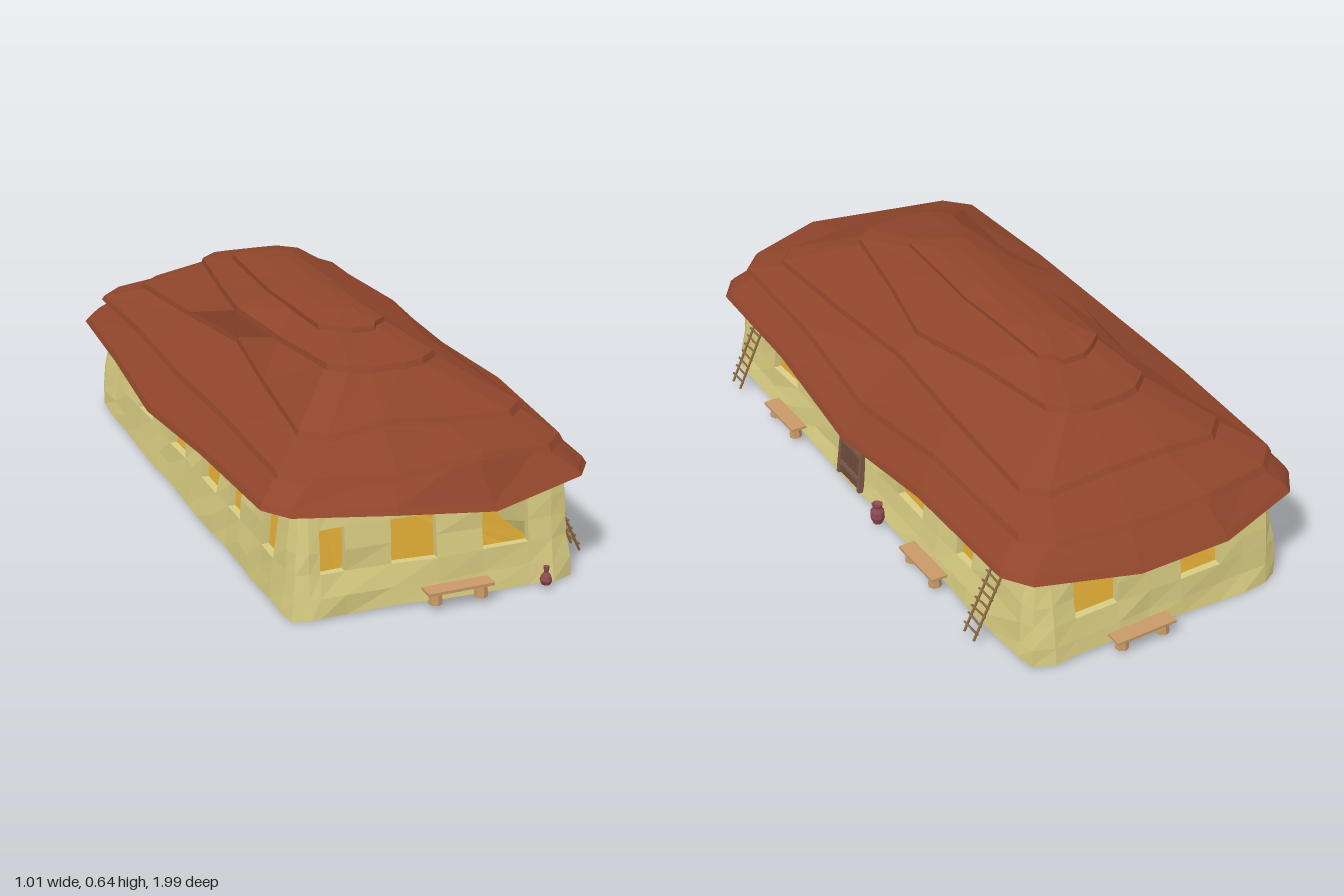
import * as THREE from 'three';

const mat = (color, side = THREE.FrontSide) =>
  new THREE.MeshStandardMaterial({ color, flatShading: true, side });
const M = {
  wall: mat(0xd9cd82, THREE.DoubleSide),
  floor: mat(0xc8992f, THREE.DoubleSide),
  roof: mat(0x8f452b, THREE.DoubleSide),
  bench: mat(0xc99a68),
  door: mat(0x6b4a3c),
  frame: mat(0x7d5a48),
  ladder: mat(0x8a6840),
  jar: mat(0x8c4a52),
};

let seed = 7;
const rand = () => (seed = (seed * 16807) % 2147483647) / 2147483647;

function add(parent, name, geo, material, x = 0, y = 0, z = 0) {
  const mesh = new THREE.Mesh(geo, material);
  mesh.name = name;
  mesh.position.set(x, y, z);
  parent.add(mesh);
  return mesh;
}

function toGeometry(pos) {
  const geo = new THREE.BufferGeometry();
  geo.setAttribute('position', new THREE.Float32BufferAttribute(pos, 3));
  geo.computeVertexNormals();
  return geo;
}

// Flat-shaded skin between rings of points of equal length
function loft(rings) {
  const n = rings[0].length, pos = [];
  for (let r = 0; r < rings.length - 1; r++)
    for (let i = 0; i < n; i++) {
      const k = (i + 1) % n;
      const [a, b, c, d] = [rings[r][i], rings[r][k], rings[r + 1][i], rings[r + 1][k]];
      for (const p of [a, c, b, b, c, d]) pos.push(p.x, p.y, p.z);
    }
  return toGeometry(pos);
}

// Wall stations along one side: ends, window edges and evenly filled gaps
function stations(from, to, holes) {
  const marks = [from, ...holes.flat(), to].sort((a, b) => a - b);
  const out = [from];
  for (let i = 1; i < marks.length; i++) {
    const gap = marks[i] - marks[i - 1], steps = Math.ceil(gap / 0.14);
    for (let s = 1; s <= steps; s++) out.push(marks[i - 1] + (gap * s) / steps);
  }
  return out;
}

function buildWalls(group) {
  const base = []; // x, z, outward normal, and whether a window starts here
  const side = (half, holes, reverse, place) => {
    const list = stations(-half, half, holes);
    if (reverse) list.reverse();
    list.forEach((t, i) => {
      const mid = i < list.length - 1 ? (t + list[i + 1]) / 2 : 99;
      base.push({ ...place(t), hole: holes.some(([a, b]) => mid > a && mid < b) });
    });
  };
  const corner = (x, z) => base.push({ x, z, nx: Math.sign(x) * 0.8, nz: Math.sign(z) * 0.8, hole: false });

  side(0.84, [[-0.57, -0.49], [-0.3, -0.16], [0.49, 0.63]], false, (t) => ({ x: 0.43, z: t, nx: 1, nz: 0 }));
  corner(0.415, 0.895);
  side(0.35, [[-0.32, -0.25], [-0.12, 0.01], [0.145, 0.28]], true, (t) => ({ x: t, z: 0.915, nx: 0, nz: 1 }));
  corner(-0.395, 0.895);
  side(0.84, [[-0.47, -0.34], [-0.14, -0.01], [0.15, 0.28], [0.38, 0.48], [0.66, 0.76]], true,
    (t) => ({ x: -0.41, z: t, nx: -1, nz: 0 }));
  corner(-0.395, -0.895);
  side(0.35, [[-0.19, -0.06], [0.145, 0.28]], false, (t) => ({ x: t, z: -0.915, nx: 0, nz: -1 }));
  corner(0.415, -0.895);

  // Outer and inner skins lean inward and are slightly uneven
  const ys = [0, 0.06, 0.125, 0.185, 0.245, 0.34], n = base.length;
  const outer = [], inner = [];
  ys.forEach((y, j) => {
    outer.push([]);
    inner.push([]);
    base.forEach((b) => {
      const off = -0.117 * y + (rand() - 0.5) * 0.011;
      const h = j === 0 ? rand() * 0.014 : y + (rand() - 0.5) * 0.004;
      const at = (o) => new THREE.Vector3(b.x + b.nx * o, h, b.z + b.nz * o);
      outer[j].push(at(off));
      inner[j].push(at(off - 0.022));
    });
  });

  const pos = [];
  const quad = (a, b, c, d) => { for (const p of [a, b, c, a, c, d]) pos.push(p.x, p.y, p.z); };
  const isHole = (j, i) => (j === 2 || j === 3) && base[(i + n) % n].hole;
  for (let j = 0; j < ys.length - 1; j++)
    for (let i = 0; i < n; i++) {
      const k = (i + 1) % n;
      if (!isHole(j, i)) {
        quad(outer[j][k], outer[j][i], outer[j + 1][i], outer[j + 1][k]);
        quad(inner[j][i], inner[j][k], inner[j + 1][k], inner[j + 1][i]);
        continue;
      }
      // Window reveals
      const reveal = (j1, i1, j2, i2) => quad(outer[j1][i1], outer[j2][i2], inner[j2][i2], inner[j1][i1]);
      if (!isHole(j - 1, i)) reveal(j, k, j, i);
      if (!isHole(j + 1, i)) reveal(j + 1, i, j + 1, k);
      if (!isHole(j, i - 1)) reveal(j, i, j + 1, i);
      if (!isHole(j, i + 1)) reveal(j + 1, k, j, k);
    }
  add(group, 'walls', toGeometry(pos), M.wall);

  const centre = outer[0].map(() => new THREE.Vector3(0, 0.008, 0));
  add(group, 'floor', loft([outer[0], centre]), M.floor);
}

// Thatch layers. Pairs are right/left or front/back; end, cut and shoulder shape
// the corners; y holds eave heights at end, corner, quarter, right and left middle
const layers = [
  { x: [0.48, 0.46], mid: [0.505, 0.51], z: [0.99, 1], end: 0.14, cut: 0.055, shoulder: 0.92, tilt: -0.015, y: [0.285, 0.3, 0.305, 0.252, 0.29] },
  { x: [0.41, 0.41], mid: [0.445, 0.42], z: [0.945, 0.94], end: 0.12, cut: 0.07, shoulder: 0.95, tilt: 0.014, y: [0.388, 0.375, 0.39, 0.345, 0.385] },
  { x: [0.34, 0.31], mid: [0.315, 0.235], z: [0.78, 0.775], end: 0.09, cut: 0.06, shoulder: 0.99, tilt: -0.008, y: [0.455, 0.438, 0.45, 0.47, 0.465] },
  { x: [0.16, 0.16], mid: [0.255, 0.235], z: [0.59, 0.61], end: 0.05, cut: 0.055, shoulder: 0.98, tilt: 0, y: [0.545, 0.548, 0.545, 0.528, 0.56] },
  { x: [0.085, 0.115], mid: [0.1, 0.135], z: [0.4, 0.44], end: 0.035, cut: 0.04, shoulder: 0.95, tilt: 0, y: [0.594, 0.599, 0.6, 0.597, 0.602] },
];

// Eave outline, clockwise from above starting at the back right
function eave({ x, mid, z, end, cut, shoulder, tilt, y }) {
  const ring = [];
  for (const s of [0, 1]) {
    const sx = s ? -1 : 1;
    const quarter = (sz) => {
      const d = sz > 0 ? z[0] : -z[1];
      return [
        [end, y[0] + (sz > 0 ? tilt * sx : 0), d],
        [x[s] - cut, y[1], d * shoulder],
        [x[s], y[1], d * (shoulder - 0.08)],
        [(x[s] + mid[s]) / 2, y[2], d * 0.42],
      ];
    };
    const half = [...quarter(-1), [mid[s], y[3 + s], 0], ...quarter(1).reverse()];
    if (s) half.reverse();
    for (const [px, py, pz] of half) ring.push(new THREE.Vector3(sx * px, py, pz));
  }
  return ring;
}

function buildRoof(group) {
  const roof = new THREE.Group();
  roof.name = 'roof';
  group.add(roof);
  const inset = (ring, s, dy) => ring.map((p) => new THREE.Vector3(p.x * s, p.y + dy, p.z * s));
  const eaves = layers.map(eave);
  eaves.forEach((ring, i) => {
    const rings = [inset(ring, 0.82, i ? 0.02 : 0.05), ring, inset(ring, 0.985, 0.016)];
    if (i < 4) rings.push(inset(eaves[i + 1], 0.95, 0.006));
    else rings.push(
      ring.map((p) => new THREE.Vector3(p.x * 0.5, 0.634, p.z * 0.72)),
      ring.map((p) => new THREE.Vector3(0, 0.638, p.z * 0.5)));
    add(roof, 'thatchLayer' + (i + 1), loft(rings), M.roof);
  });
}

function buildBench(group, x, z, turn) {
  const bench = new THREE.Group();
  bench.name = 'bench';
  for (const s of [-1, 1])
    add(bench, 'benchLeg', new THREE.CylinderGeometry(0.017, 0.02, 0.036, 7), M.bench, s * 0.066, 0.036, 0);
  add(bench, 'benchSeat', new THREE.BoxGeometry(0.19, 0.008, 0.05), M.bench, 0, 0.056, 0).rotation.z = 0.02;
  bench.position.set(x, 0, z);
  bench.rotation.y = turn;
  group.add(bench);
}

function buildLadder(group, z) {
  const ladder = new THREE.Group();
  ladder.name = 'ladder';
  for (const s of [-1, 1])
    add(ladder, 'ladderRail', new THREE.CylinderGeometry(0.004, 0.004, 0.21, 5), M.ladder, 0, 0.105, s * 0.025);
  for (let i = 0; i < 7; i++)
    add(ladder, 'ladderRung', new THREE.CylinderGeometry(0.0035, 0.0035, 0.07, 5), M.ladder, 0.004, 0.025 + i * 0.027, 0)
      .rotation.x = Math.PI / 2 + (rand() - 0.5) * 0.12;
  ladder.position.set(0.497, 0.018, z);
  ladder.rotation.z = 0.44;
  group.add(ladder);
}

function buildDoor(group) {
  const door = new THREE.Group();
  door.name = 'door';
  for (let i = 0; i < 4; i++) {
    const h = i % 3 ? 0.154 : 0.14;
    add(door, 'doorPlank', new THREE.BoxGeometry(0.014, h, 0.026), M.door, 0, 0.015 + h / 2, (i - 1.5) * 0.029);
  }
  for (const y of [0.05, 0.13])
    add(door, 'doorBrace', new THREE.BoxGeometry(0.02, 0.013, 0.112), M.frame, 0.002, y, 0);
  // Frame posts and a shallow arched lintel
  const half = [[0.03, 0.168], [0.057, 0.155], [0.057, 0.01], [0.07, 0.01], [0.068, 0.165], [0.036, 0.184]];
  const outline = [...half, ...half.map(([a, b]) => [-a, b]).reverse()];
  const frame = new THREE.Shape(outline.map(([a, b]) => new THREE.Vector2(a, b)));
  const geo = new THREE.ExtrudeGeometry(frame, { depth: 0.024, bevelEnabled: false });
  geo.translate(0, 0, -0.012).rotateY(Math.PI / 2);
  add(door, 'doorFrame', geo, M.frame);
  door.position.set(0.432, 0.006, 0.105);
  door.rotation.z = 0.116;
  group.add(door);
}

function buildJar(group, profile, x, z) {
  const points = profile.map(([r, y]) => new THREE.Vector2(r, y));
  add(group, 'jar', new THREE.LatheGeometry(points, 8), M.jar, x, 0.018, z);
}

export function createModel() {
  const model = new THREE.Group();
  model.name = 'longhouse';
  buildWalls(model);
  buildRoof(model);
  buildDoor(model);
  buildBench(model, 0.05, 0.955, 0);
  buildBench(model, 0.1, -0.957, Math.PI);
  for (const z of [0.47, -0.395]) buildBench(model, 0.465, z, Math.PI / 2);
  for (const z of [0.755, -0.705]) buildLadder(model, z);
  buildJar(model, [[0, 0], [0.012, 0], [0.018, 0.012], [0.014, 0.024], [0.006, 0.034], [0.009, 0.052], [0, 0.05]], 0.31, 0.95);
  buildJar(model, [[0, 0], [0.013, 0], [0.022, 0.022], [0.021, 0.042], [0.013, 0.054], [0.017, 0.066], [0, 0.06]], 0.462, -0.12);
  return model;
}
